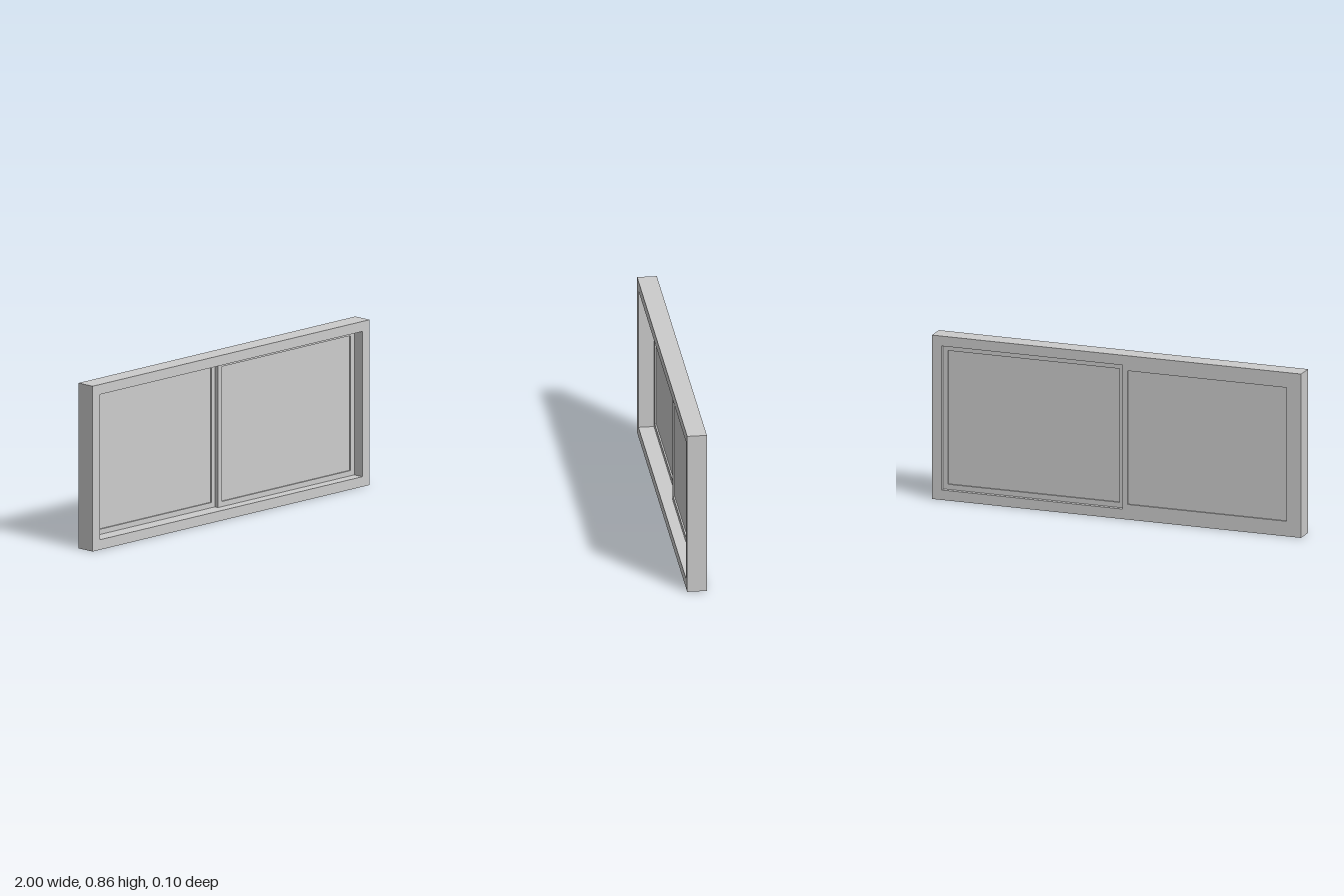
import * as THREE from 'three';

const HEIGHT = 0.857;

// Rectangular ring with a border of the given width, extruded from zBack to zFront
function ring(x0, x1, y0, y1, border, zBack, zFront) {
  const corners = (i) => [
    new THREE.Vector2(x0 + i, y0 + i), new THREE.Vector2(x1 - i, y0 + i),
    new THREE.Vector2(x1 - i, y1 - i), new THREE.Vector2(x0 + i, y1 - i),
  ];
  const shape = new THREE.Shape(corners(0));
  shape.holes.push(new THREE.Path(corners(border).reverse()));
  const geometry = new THREE.ExtrudeGeometry(shape, { depth: zFront - zBack, bevelEnabled: false });
  return geometry.translate(0, 0, zBack);
}

export function createModel() {
  const model = new THREE.Group();
  model.name = 'slidingWindow';
  const grey = new THREE.MeshStandardMaterial({ color: 0xcccccc });
  grey.name = 'light grey';

  const add = (parent, name, geometry) => {
    const mesh = new THREE.Mesh(geometry, grey);
    mesh.name = name;
    parent.add(mesh);
  };

  // Outer frame
  add(model, 'outerFrame', ring(-1, 1, 0, HEIGHT, 0.052, -0.05, 0.05));

  // Two sliding sashes on neighbouring tracks, each with a recessed pane
  const y0 = 0.052, y1 = HEIGHT - 0.052, rail = 0.027;
  const sashes = [
    { name: 'rightSash', x0: -0.948, x1: -0.033, zBack: -0.05, zFront: -0.029 },
    { name: 'leftSash', x0: -0.036, x1: 0.948, zBack: -0.028, zFront: -0.007 },
  ];
  for (const { name, x0, x1, zBack, zFront } of sashes) {
    const sash = new THREE.Group();
    sash.name = name;
    add(sash, 'sashFrame', ring(x0, x1, y0, y1, rail, zBack, zFront));
    const pane = new THREE.BoxGeometry(x1 - x0 - 2 * rail, y1 - y0 - 2 * rail, 0.005);
    pane.translate((x0 + x1) / 2, (y0 + y1) / 2, (zBack + zFront) / 2);
    add(sash, 'pane', pane);
    model.add(sash);
  }
  return model;
}
